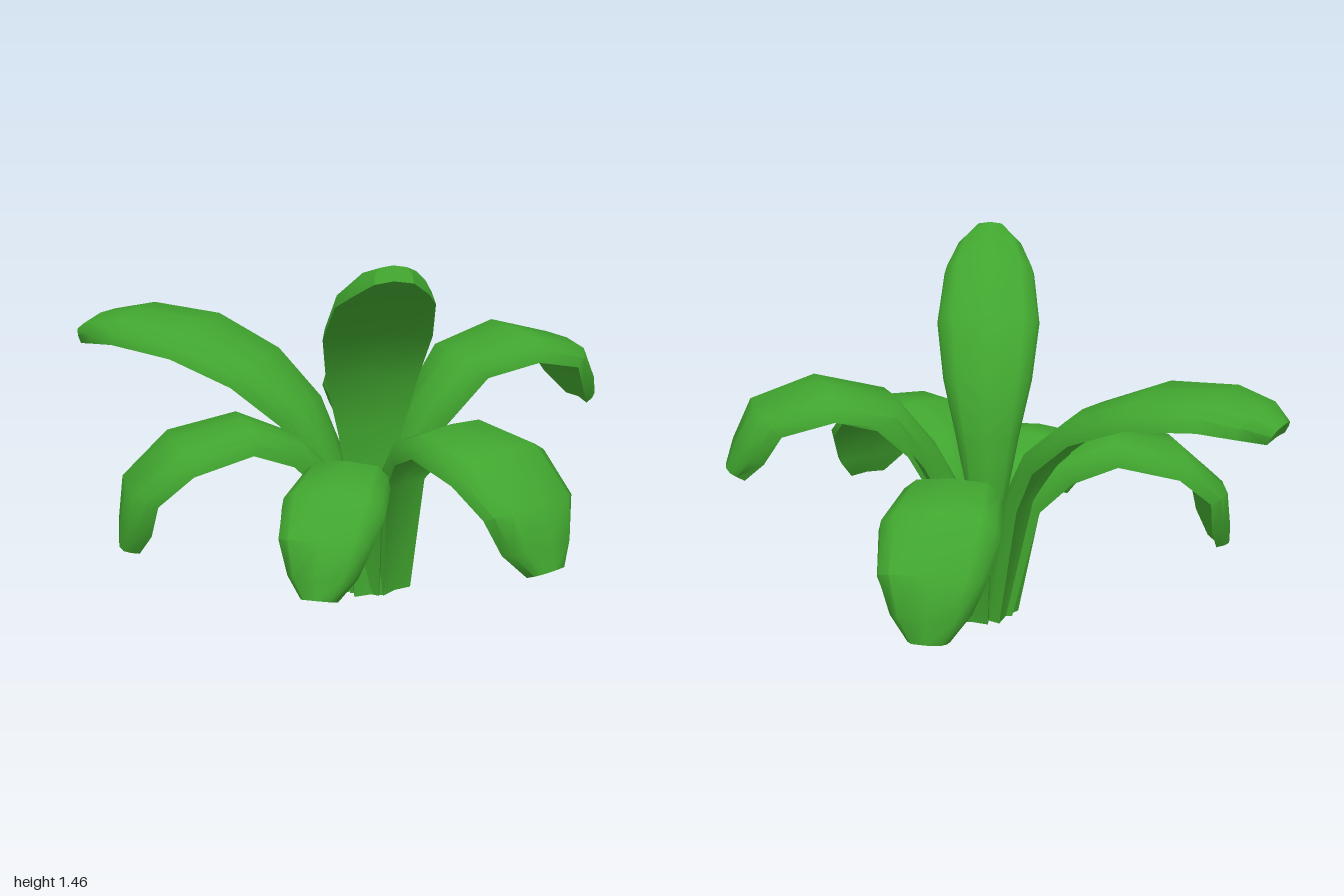
import * as THREE from 'three';
import { toCreasedNormals } from 'three/addons/utils/BufferGeometryUtils.js';

const THICK = 0.095;
const v2 = (x, y) => new THREE.Vector2(x, y);

// Half of the leaf section (half-widths, thicknesses), mirrored into a closed ring
const right = [v2(1, -1), v2(0.94, -0.5), v2(0.7, -0.12)];
const mirrored = right.map((p) => v2(-p.x, p.y)).reverse();
const SECTION = [v2(0, 0), ...mirrored, v2(0, -0.85), ...right];

// Outline shared by all leaves: position along the leaf, share of its full width
const OUTLINE = [v2(0, 0.3), v2(0.28, 0.42), v2(0.41, 0.62), v2(0.55, 0.86),
  v2(0.71, 1), v2(0.86, 0.89), v2(0.95, 0.66), v2(1, 0.34)];

// Sweeps the section along a crest curve (distance out, height) and closes both ends
function leafGeometry(crest, halfWidth) {
  const n = SECTION.length, end = (OUTLINE.length - 1) * n;
  const pos = [], index = [];
  OUTLINE.forEach((o, i) => {
    const p = crest.getPointAt(o.x);
    const t = i === 0 ? v2(0, 1) : crest.getTangentAt(o.x);
    const depth = o.x === 1 ? THICK * 0.7 : THICK;
    for (const s of SECTION) {
      pos.push(-s.x * halfWidth * o.y, p.y + t.x * s.y * depth, p.x - t.y * s.y * depth);
    }
  });
  for (let i = 0; i < end; i += n) {
    for (let j = 0; j < n; j++) {
      const a = i + j, b = i + (j + 1) % n;
      index.push(a, a + n, b, b, a + n, b + n);
    }
  }
  for (let k = 1; k < n - 1; k++) index.push(0, k, k + 1, end, end + k + 1, end + k);
  const geo = new THREE.BufferGeometry();
  geo.setAttribute('position', new THREE.Float32BufferAttribute(pos, 3));
  geo.setIndex(index);
  return toCreasedNormals(geo, 0.95);
}

export function createModel() {
  const group = new THREE.Group();
  group.name = 'plant';
  const green = new THREE.MeshStandardMaterial({ color: 0x41a62f });
  green.name = 'leafGreen';

  // Heading in degrees from the front towards +x; points follow the crest from stem to tip
  const addLeaf = (name, x, heading, halfWidth, ...points) => {
    const crest = new THREE.SplineCurve([v2(0.03, 0), ...points]);
    const mesh = new THREE.Mesh(leafGeometry(crest, halfWidth), green);
    mesh.name = name;
    mesh.position.x = x;
    mesh.rotation.y = THREE.MathUtils.degToRad(heading);
    group.add(mesh);
  };

  // Upper leaves
  addLeaf('tallFrontLeaf', -0.03, -18, 0.205,
    v2(0.03, 0.55), v2(0.1, 0.95), v2(0.29, 1.21), v2(0.49, 1.38), v2(0.66, 1.455));
  addLeaf('leftLeaf', -0.02, 88.5, 0.235,
    v2(0.08, 0.5), v2(0.36, 0.93), v2(0.61, 1), v2(0.88, 0.936), v2(1.01, 0.69));
  addLeaf('backRightLeaf', -0.01, 223.5, 0.26,
    v2(0.12, 0.5), v2(0.26, 0.76), v2(0.56, 0.98), v2(0.86, 1.045), v2(1.1, 1.045), v2(1.24, 0.97));

  // Lower drooping leaves
  addLeaf('frontLeftLeaf', 0.02, 14, 0.235,
    v2(0.08, 0.48), v2(0.2, 0.66), v2(0.42, 0.77), v2(0.84, 0.68), v2(0.98, 0.35));
  addLeaf('frontRightLeaf', 0, -40, 0.195,
    v2(0.1, 0.42), v2(0.22, 0.56), v2(0.42, 0.65), v2(0.76, 0.55), v2(0.87, 0.28));
  addLeaf('rightLeaf', 0, 260, 0.215,
    v2(0.13, 0.45), v2(0.26, 0.62), v2(0.5, 0.74), v2(0.82, 0.67), v2(0.97, 0.53), v2(1.01, 0.27));
  addLeaf('backLeftLeaf', 0.01, 153.5, 0.22,
    v2(0.12, 0.46), v2(0.23, 0.6), v2(0.5, 0.73), v2(0.83, 0.68), v2(0.99, 0.52), v2(1.02, 0.29));
  return group;
}
